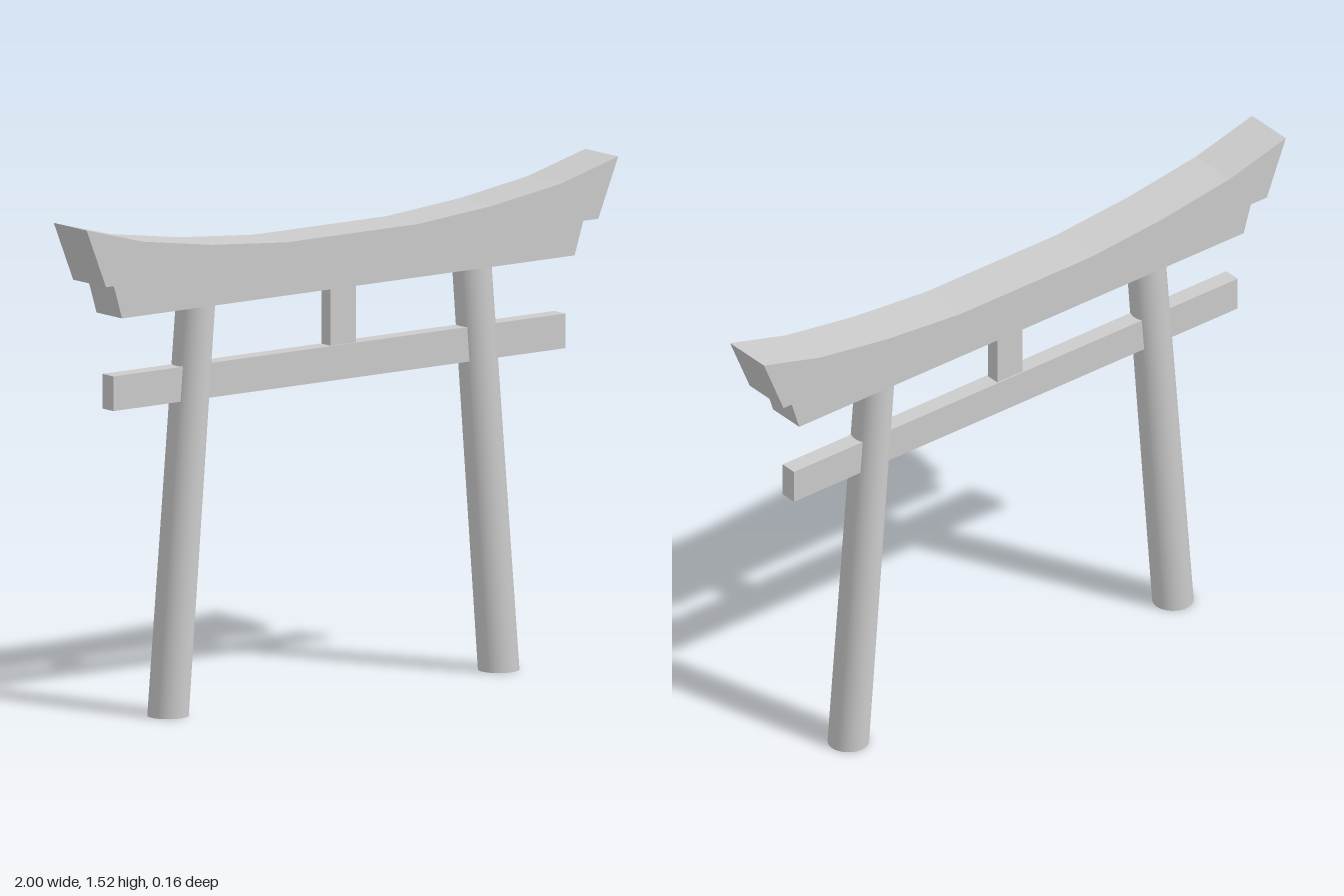
import * as THREE from 'three';

const material = new THREE.MeshStandardMaterial({ color: 0xcccccc, flatShading: true });
const pillarMaterial = new THREE.MeshStandardMaterial({ color: 0xcccccc, side: THREE.DoubleSide });

export function createModel() {
  const group = new THREE.Group();
  const add = (name, geometry, mat = material) => {
    const mesh = new THREE.Mesh(geometry, mat);
    mesh.name = name;
    group.add(mesh);
    return mesh;
  };

  // Front outline extruded evenly to both sides of z = 0
  const slab = (name, points, depth) => {
    const shape = new THREE.Shape(points.map(([x, y]) => new THREE.Vector2(x, y)));
    const geometry = new THREE.ExtrudeGeometry(shape, { depth, bevelEnabled: false });
    geometry.translate(0, 0, -depth / 2);
    return add(name, geometry);
  };
  const box = (name, x0, x1, y0, y1, depth) => {
    const geometry = new THREE.BoxGeometry(x1 - x0, y1 - y0, depth);
    geometry.translate((x0 + x1) / 2, (y0 + y1) / 2, 0);
    return add(name, geometry);
  };

  // Curved top lintel with flared ends
  const rise = [[1, 1.52], [0.785, 1.462], [0.53, 1.424], [0.25, 1.4]];
  const sweep = [...rise, ...rise.map(([x, y]) => [-x, y]).reverse()];
  slab('topLintel', [[-0.927, 1.34], [0.925, 1.34], ...sweep], 0.16);

  // Straight lintel beneath it, with slanted ends
  slab('lowerLintel', [[-0.853, 1.235], [0.85, 1.235], [0.884, 1.34], [-0.885, 1.34]], 0.124);

  // Tie beam through the pillars and the short strut above it
  box('tieBeam', -0.858, 0.842, 0.95, 1.055, 0.054);
  box('centreStrut', -0.037, 0.059, 1.055, 1.235, 0.044);

  // Pillars lean inwards but keep level ends, so they are sheared
  const height = 1.235;
  for (const [name, foot, head] of [['rightPillar', -0.632, -0.529], ['leftPillar', 0.612, 0.511]]) {
    const geometry = new THREE.CylinderGeometry(0.059, 0.062, height, 32, 1, true);
    geometry.translate(0, height / 2, 0);
    const position = geometry.attributes.position;
    for (let i = 0; i < position.count; i++) {
      const t = position.getY(i) / height;
      position.setX(i, position.getX(i) + THREE.MathUtils.lerp(foot, head, t));
    }
    geometry.computeBoundingSphere();
    add(name, geometry, pillarMaterial);
  }

  return group;
}
